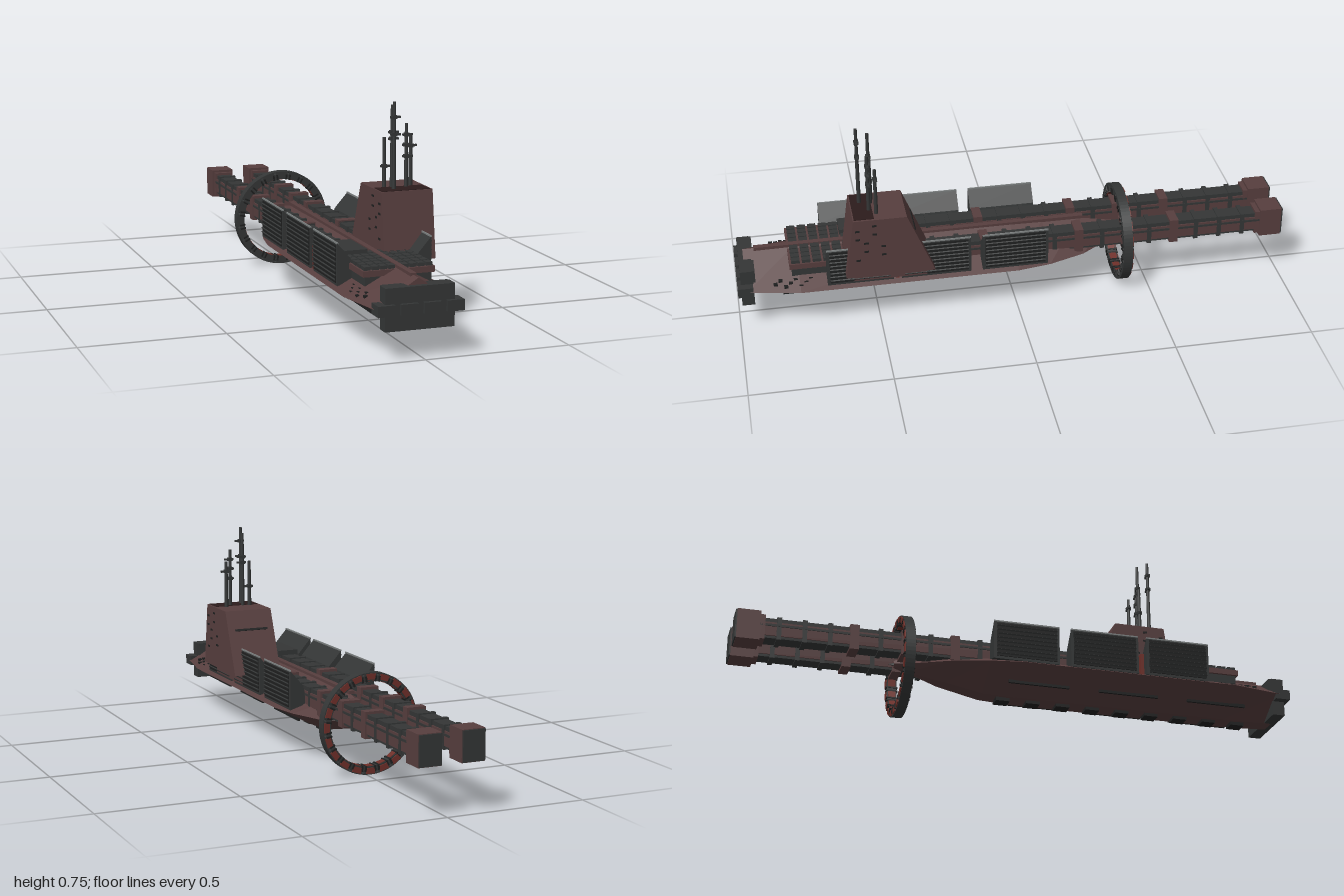
import * as THREE from 'three';

const mat = (name, color) => {
  const m = new THREE.MeshStandardMaterial({ color });
  m.name = name;
  return m;
};

export function createModel() {
  const rust = mat('rust brown', 0x573e3e);
  const grey = mat('dark grey', 0x343636);
  const black = mat('near black', 0x1f2020);
  const red = mat('dull red', 0x70302a);
  const maroon = mat('dark maroon', 0x2c1c1c);
  const pale = mat('pale rim', 0x7c8080);
  const root = new THREE.Group();
  root.name = 'submarine';
  const CX = -0.015; // hull centre line

  const add = (name, geo, m, x = 0, y = 0, z = 0, parent = root) => {
    const mesh = new THREE.Mesh(geo, m);
    mesh.name = name;
    mesh.position.set(x, y, z);
    parent.add(mesh);
    return mesh;
  };
  const box = (name, m, w, h, d, x, y, z, parent) =>
    add(name, new THREE.BoxGeometry(w, h, d), m, x, y, z, parent);
  const group = (name) => {
    const g = new THREE.Group();
    g.name = name;
    root.add(g);
    return g;
  };
  const shape = (pts) => new THREE.Shape(pts.map(([x, y]) => new THREE.Vector2(x, y)));
  const extrude = (s, depth) =>
    new THREE.ExtrudeGeometry(s, { depth, bevelEnabled: false, curveSegments: 40 });

  // Hull: diamond cross-sections [z, half width, ridge y, edge y, bottom y]
  const sections = [
    [0.97, 0.145, 0.262, 0.17, 0.1], [0.78, 0.18, 0.264, 0.17, 0.095],
    [0.0, 0.18, 0.264, 0.17, 0.095], [-0.12, 0.16, 0.262, 0.17, 0.1],
    [-0.25, 0.118, 0.255, 0.172, 0.13], [-0.38, 0.04, 0.23, 0.18, 0.16],
    [-0.43, 0.012, 0.2, 0.185, 0.175],
  ];
  const pos = [], idx = [], N = 5;
  sections.forEach(([z, w, t, e, b]) => pos.push(
    CX, t, z, CX + w, e, z, CX + w * 0.2, b, z, CX - w * 0.2, b, z, CX - w, e, z));
  for (let i = 0; i < sections.length - 1; i++) {
    for (let j = 0; j < N; j++) {
      const a = i * N + j, b = i * N + (j + 1) % N;
      idx.push(a, b, a + N, b, b + N, a + N);
    }
  }
  const last = (sections.length - 1) * N;
  for (let j = 1; j < N - 1; j++) idx.push(0, j + 1, j, last, last + j, last + j + 1);
  let hull = new THREE.BufferGeometry();
  hull.setAttribute('position', new THREE.Float32BufferAttribute(pos, 3));
  hull.setIndex(idx);
  hull = hull.toNonIndexed();
  hull.computeVertexNormals();
  add('hull', hull, rust);
  box('spine', rust, 0.02, 0.012, 1.2, CX, 0.262, 0.33);

  // Bow block with a row of sensor boxes
  const bow = group('bow');
  box('bowBlock', grey, 0.235, 0.14, 0.045, CX, 0.17, 0.965, bow);
  for (const x of [-0.117, -0.039, 0.039, 0.117])
    box('sensorBox', grey, 0.058, 0.036, 0.055, CX + x, 0.17, 0.9725, bow);
  for (const s of [-1, 1])
    box('bowShoulder', grey, 0.07, 0.05, 0.05, CX + s * 0.078, 0.215, 0.96, bow);

  // Deck hatch grids
  for (const s of [-1, 1]) {
    const g = group('hatchGrid');
    const x0 = CX + s * 0.065;
    box('hatchBase', rust, 0.118, 0.02, 0.235, x0, 0.245, 0.695, g);
    box('hatchPlinth', grey, 0.1, 0.05, 0.22, x0, 0.215, 0.695, g);
    for (let i = 0; i < 4; i++)
      for (let j = 0; j < 6; j++)
        box('hatch', grey, 0.022, 0.014, 0.03,
          x0 + (i - 1.5) * 0.028, 0.26, 0.695 + (j - 2.5) * 0.038, g);
  }
  box('raisedHatch', grey, 0.08, 0.02, 0.16, -0.09, 0.27, 0.54);

  // Louvred side housings, three on each side
  for (const s of [-1, 1]) {
    for (const [z0, z1] of [[-0.11, 0.128], [0.17, 0.42], [0.45, 0.684]]) {
      const g = group('louvreHousing');
      const len = z1 - z0, zc = (z0 + z1) / 2;
      const prism = extrude(shape([[0.165, 0.18], [0.165, 0.322], [0.115, 0.265], [0.1, 0.2]]
        .map(([x, y]) => [CX + s * x, y])), len);
      add('housing', prism, grey, 0, 0, z0, g);
      box('rim', pale, 0.005, 0.005, len, CX + s * 0.164, 0.322, zc, g);
      box('louvreWell', black, 0.004, 0.125, len - 0.02, CX + s * 0.166, 0.252, zc, g);
      for (let i = 0; i < 8; i++) {
        const slat = box('slat', grey, 0.009, 0.005, len - 0.02, CX + s * 0.167, 0.2 + i * 0.015, zc, g);
        slat.rotation.z = -s * 0.5;
      }
    }
    box('redDivider', red, 0.03, 0.08, 0.012, CX + s * 0.145, 0.22, 0.435);
  }

  // Twin long launch rails running aft
  for (const [x, front] of [[-0.093, 0.48], [0.062, 0.32]]) {
    const g = group('launchRail');
    const len = front + 0.93, zc = (front - 0.93) / 2;
    box('railCore', grey, 0.054, 0.074, len, x, 0.225, zc, g);
    for (const s of [-1, 1]) {
      box('sidePlate', rust, 0.006, 0.05, len - 0.02, x + s * 0.028, 0.222, zc, g);
      box('sidePipe', grey, 0.008, 0.008, len - 0.02, x + s * 0.03, 0.235, zc, g);
    }
    for (let z = -0.85; z < front; z += 0.088)
      box('clamp', grey, 0.066, 0.083, 0.016, x, 0.225, z, g);
    for (const z of [-0.59, -0.41, -0.235, 0.11])
      box('brownBand', rust, 0.07, 0.092, 0.032, x, 0.225, z, g);
    box('endBlock', rust, 0.084, 0.108, 0.08, x, 0.226, -0.955, g);
    box('endPlate', grey, 0.08, 0.104, 0.006, x, 0.226, -0.997, g);
    box('endCollar', rust, 0.068, 0.09, 0.02, x, 0.226, -0.908, g);
  }

  // Stern ring shroud with small slots and red rear segments
  const ring = group('sternRing');
  ring.position.set(-0.013, 0.182, -0.405);
  const annulus = new THREE.Shape().absarc(0, 0, 0.179, 0, Math.PI * 2);
  annulus.holes.push(new THREE.Path().absarc(0, 0, 0.15, 0, Math.PI * 2, true));
  const SEG = 20;
  for (let i = 0; i < SEG; i++) {
    const a = (i + 0.5) / SEG * Math.PI * 2;
    annulus.holes.push(new THREE.Path([0, 1, 2, 3].map((k) => new THREE.Vector2(
      Math.cos(a) * 0.172 + Math.cos(a + k * Math.PI / 2) * 0.005,
      Math.sin(a) * 0.172 + Math.sin(a + k * Math.PI / 2) * 0.005))));
  }
  add('shroud', extrude(annulus, 0.034), grey, 0, 0, -0.017, ring);
  for (let i = 0; i < SEG; i++) {
    const a = i / SEG * Math.PI * 2;
    const pivot = new THREE.Group();
    pivot.name = 'ringSegment';
    pivot.rotation.z = a;
    ring.add(pivot);
    box('rearPlate', red, 0.02, 0.034, 0.005, 0.165, 0, -0.018, pivot);
    box('innerPlate', red, 0.004, 0.03, 0.026, 0.15, 0, 0, pivot);
    const rib = new THREE.Group();
    rib.name = 'ribPivot';
    rib.rotation.z = Math.PI / SEG;
    pivot.add(rib);
    for (const s of [-1, 1])
      box('rib', black, 0.02, 0.006, 0.042, 0.158, s * 0.007, 0, rib);
  }
  const tip = add('tailTip', new THREE.ConeGeometry(0.012, 0.04, 8), grey, CX, 0.187, -0.43);
  tip.rotation.x = -Math.PI / 2;

  // Conning tower, offset to one side
  const tower = group('tower');
  const sail = extrude(shape([[0.62, 0.23], [0.588, 0.46], [0.4, 0.46], [0.305, 0.23]]), 0.184);
  sail.rotateY(-Math.PI / 2);
  add('sail', sail, rust, 0.193, 0, 0, tower);
  box('sailFoot', rust, 0.13, 0.05, 0.26, 0.09, 0.215, 0.46, tower);
  box('topWell', maroon, 0.17, 0.004, 0.07, 0.1, 0.46, 0.549, tower);
  const slit = box('rearSlit', black, 0.13, 0.008, 0.006, 0.1, 0.39, 0.371, tower);
  slit.rotation.x = 0.39;
  for (const x of [0.009, 0.193])
    for (let i = 0; i < 9; i++)
      box('sidePort', black, 0.004, 0.007, 0.016, x, 0.3 + (i * 4 % 9) * 0.017, 0.575 - (i % 4) * 0.03, tower);

  // Masts [x, z, top, crossbar heights]
  const masts = [
    [0.05, 0.51, 0.63, [0.533]], [0.068, 0.553, 0.755, [0.645, 0.703]],
    [0.076, 0.515, 0.738, [0.625, 0.647]], [0.123, 0.525, 0.676, [0.565, 0.603, 0.638]],
    [0.148, 0.502, 0.634, [0.596]],
  ];
  for (const [x, z, top, bars] of masts) {
    const g = group('mast');
    add('pole', new THREE.CylinderGeometry(0.0055, 0.0075, top - 0.44, 10), grey, x, (top + 0.44) / 2, z, g);
    for (const y of bars) {
      box('crossbar', grey, 0.036, 0.007, 0.008, x + 0.004, y, z, g);
      box('mastCollar', grey, 0.016, 0.012, 0.016, x, y, z, g);
    }
  }

  // Keel pipes and hull fittings
  for (let i = 0; i < 9; i++) {
    const z = 0.84 - i * 0.11;
    box('keelFitting', black, 0.045, 0.014, 0.05, CX, 0.091, z);
    for (const s of [-1, 1])
      if (i % 3 === 1) box('bottomRail', black, 0.008, 0.012, 0.22, CX + s * 0.1, 0.127, z);
  }
  for (const s of [-1, 1])
    for (let i = 0; i < 8; i++)
      box('deckFitting', black, 0.012, 0.008, 0.014,
        CX + s * (0.125 + (i % 3) * 0.012), 0.194 - (i % 3) * 0.006, 0.74 + i * 0.018);

  return root;
}
